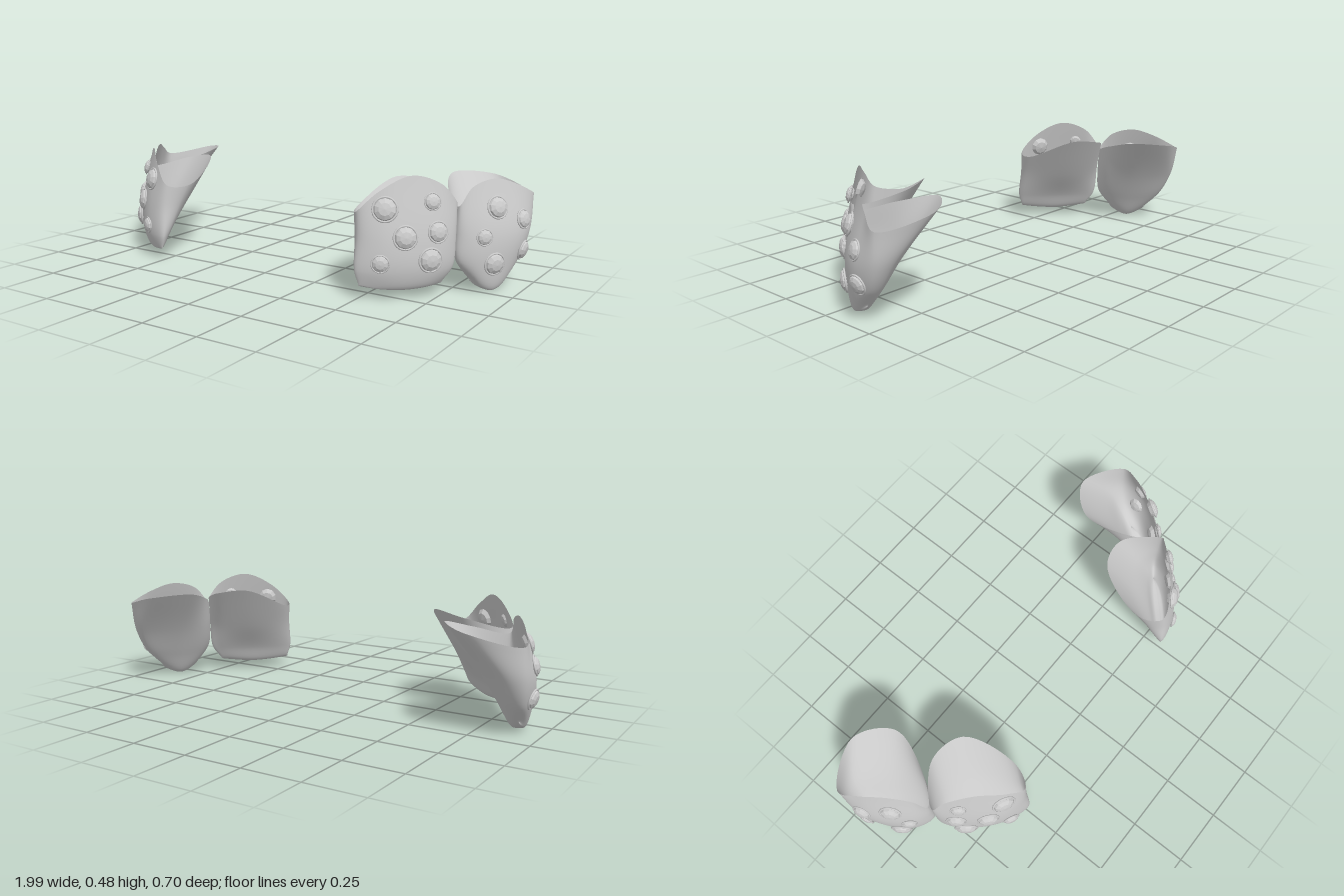
import * as THREE from 'three';
import { mergeVertices } from 'three/addons/utils/BufferGeometryUtils.js';

const AROUND = 64, DOWN = 28, HINGE_X = 0.79;
const shellMat = new THREE.MeshStandardMaterial({ color: 0xcccccc, side: THREE.DoubleSide });
const gemMat = new THREE.MeshStandardMaterial({ color: 0xcccccc, flatShading: true });
const ringMat = new THREE.MeshStandardMaterial({ color: 0xcccccc });

// Cross-section rule: width fraction, then bulge (+) or depth (-) fraction, going from
// the hinge along the outer panel to the far corner and back along the inner panel
const WIDTH = [0, 0.16, 0.47, 0.8, 1, 0.95, 0.5, 0.12];
const SWELL = [0, 0.7, 1, 0.72, -0.1, -0.62, -1, -0.7];

// Rims as [along, height, outward] in the same order
const frontRim = [[0, 0.37, 0], [0.06, 0.44, 0], [0.18, 0.478, 0], [0.31, 0.42, 0],
  [0.39, 0.34, -0.03], [0.365, 0.335, -0.135], [0.17, 0.43, -0.262], [0.03, 0.41, -0.19]];
const rearRim = [[0, 0.35, 0], [0.06, 0.42, 0], [0.166, 0.447, 0], [0.28, 0.415, 0],
  [0.375, 0.37, -0.02], [0.345, 0.415, -0.235], [0.17, 0.43, -0.285], [0.05, 0.385, -0.15]];

// Levels below the rim as [start, end, height, bulge, depth, lift of the sides]
const frontLevels = [[0, 0.39, 0.24, 0.055, 0.14, 0], [0.01, 0.4, 0.115, 0.06, 0.05, 0],
  [0.05, 0.385, 0.041, 0.035, 0.01, 0.018]];
const rearLevels = [[-0.005, 0.36, 0.24, 0.06, 0.15, 0], [0, 0.31, 0.105, 0.06, 0.07, 0.025],
  [0.06, 0.235, 0.007, 0.04, 0.01, 0.045]];

// Gems as [along, height, radius]
const frontGems = [[0.291, 0.355, 0.05], [0.107, 0.38, 0.035], [0.218, 0.25, 0.048],
  [0.087, 0.265, 0.043], [0.118, 0.16, 0.049], [0.312, 0.15, 0.036]];
const rearGems = [[0.151, 0.34, 0.046], [0.28, 0.282, 0.04], [0.085, 0.23, 0.034],
  [0.132, 0.12, 0.046], [0.285, 0.155, 0.042]];

// Local frame of a pocket: along its outer panel, up, and outward; side is +1 or -1
function makeFrame(side, hingeZ, alongX, alongZ) {
  const along = new THREE.Vector3(side * alongX, 0, alongZ).normalize();
  const outward = new THREE.Vector3(side * Math.abs(alongZ), 0, Math.abs(alongX)).normalize();
  const hinge = new THREE.Vector3(side * HINGE_X, 0, hingeZ);
  const place = (u, y, n) => hinge.clone().addScaledVector(along, u)
    .addScaledVector(outward, n).setY(y);
  return { along, outward, hinge, place };
}

function levelLoop([start, end, height, bulge, depth, lift]) {
  return WIDTH.map((w, i) => new THREE.Vector3(
    start + (end - start) * w,
    height + lift * (2 * w - 1) ** 2,
    SWELL[i] * (SWELL[i] > 0 ? bulge : depth)));
}

// Open-topped shell lofted from the rim through the levels to a closed bottom seam
function pocketGeometry(frame, rim, levels) {
  const loops = [rim.map((c) => new THREE.Vector3(...c)), ...levels.map(levelLoop)];
  const last = loops[loops.length - 1];
  loops.push(last.map((v, i) => {
    const seam = v.clone().lerp(last[(8 - i) % 8], 0.5);
    seam.y -= 0.006;
    return seam;
  }));
  const curves = loops.map((l) => new THREE.CatmullRomCurve3(l, true));
  const columns = Array.from({ length: AROUND }, (_, k) =>
    new THREE.CatmullRomCurve3(curves.map((c) => c.getPoint(k / AROUND))));

  const positions = [], index = [];
  for (let j = 0; j <= DOWN; j++) {
    for (const column of columns) {
      const v = column.getPoint(j / DOWN);
      positions.push(...frame.place(v.x, v.y, v.z).toArray());
    }
  }
  // The winding depends on the handedness of the local frame
  const up = new THREE.Vector3(0, 1, 0);
  const rightHanded = frame.along.clone().cross(up).dot(frame.outward) > 0;
  for (let j = 0; j < DOWN; j++) {
    for (let k = 0; k < AROUND; k++) {
      const a = j * AROUND + k, c = j * AROUND + (k + 1) % AROUND;
      const b = a + AROUND, d = c + AROUND;
      if (rightHanded) index.push(a, b, c, c, b, d);
      else index.push(a, c, b, c, d, b);
    }
  }
  const open = new THREE.BufferGeometry();
  open.setAttribute('position', new THREE.Float32BufferAttribute(positions, 3));
  open.setIndex(index);
  const geo = mergeVertices(open, 1e-5);
  geo.computeVertexNormals();
  return geo;
}

// Faceted lens-shaped stone in a thin ring, facing +z, radius 1
const gemGeo = new THREE.LatheGeometry(
  [[0, -0.45], [0.6, -0.35], [0.93, 0], [0.82, 0.26], [0.5, 0.44], [0, 0.5]]
    .map(([x, y]) => new THREE.Vector2(x, y)), 10).rotateX(Math.PI / 2);
const ringGeo = new THREE.TorusGeometry(0.94, 0.09, 8, 28);

function makeGem(radius) {
  const gem = new THREE.Group();
  gem.name = 'gem';
  const stone = new THREE.Mesh(gemGeo, gemMat);
  stone.name = 'stone';
  const ring = new THREE.Mesh(ringGeo, ringMat);
  ring.name = 'gemSetting';
  ring.position.z = 0.06;
  gem.add(stone, ring);
  gem.scale.setScalar(radius);
  return gem;
}

// Finds the point and normal on the outer panel at a given spot
function surfaceAt(geo, frame, u, y) {
  const { position, normal } = geo.attributes;
  let best = Infinity, depth = 0, facing = frame.outward;
  for (let i = 0; i < position.count; i++) {
    const n = new THREE.Vector3().fromBufferAttribute(normal, i);
    if (n.dot(frame.outward) < 0.3) continue;
    const v = new THREE.Vector3().fromBufferAttribute(position, i).sub(frame.hinge);
    const distance = Math.hypot(v.dot(frame.along) - u, v.y - y);
    if (distance < best) {
      best = distance;
      depth = v.dot(frame.outward);
      facing = n;
    }
  }
  return { point: frame.place(u, y, depth), facing };
}

function makePocket(name, frame, rim, levels, gems) {
  const pocket = new THREE.Group();
  pocket.name = name;
  const geo = pocketGeometry(frame, rim, levels);
  const shell = new THREE.Mesh(geo, shellMat);
  shell.name = 'pocketShell';
  pocket.add(shell);
  for (const [u, y, radius] of gems) {
    const { point, facing } = surfaceAt(geo, frame, u, y);
    const gem = makeGem(radius);
    gem.position.copy(point);
    gem.lookAt(point.clone().add(facing));
    pocket.add(gem);
  }
  return pocket;
}

export function createModel() {
  const model = new THREE.Group();
  model.name = 'gemmedHipPockets';
  for (const side of [1, -1]) {
    const label = side > 0 ? 'left' : 'right';
    model.add(
      makePocket(`${label}FrontPocket`, makeFrame(side, 0.08, -0.745, 0.667),
        frontRim, frontLevels, frontGems),
      makePocket(`${label}RearPocket`, makeFrame(side, 0.06, 0.533, -0.846),
        rearRim, rearLevels, rearGems));
  }
  return model;
}
